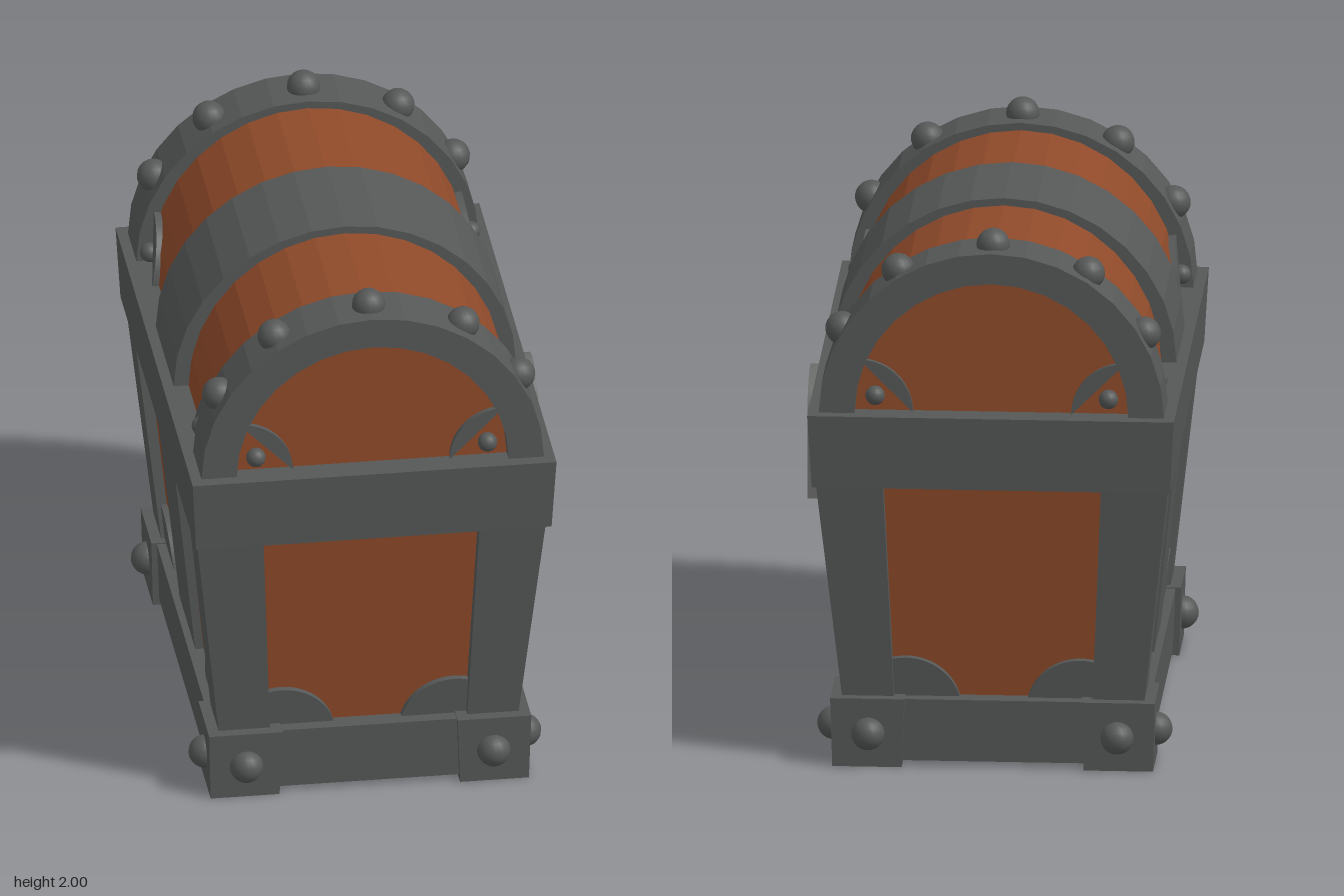
import * as THREE from 'three';

const mat = (color, flat = true) => new THREE.MeshStandardMaterial({ color, flatShading: flat });

export function createModel() {
  const iron = mat(0x555857), wood = mat(0x8f4a2a), steel = mat(0x6a6c6a), black = mat(0x0a0a0a);
  const studMat = mat(0x555857, false);
  const model = new THREE.Group();
  model.name = 'treasureChest';
  const chest = new THREE.Group();
  chest.name = 'chest';
  chest.position.x = -0.027; // the lock makes the outline lopsided
  model.add(chest);

  const add = (parent, name, geo, material) => {
    const mesh = new THREE.Mesh(geo, material);
    mesh.name = name;
    parent.add(mesh);
    return mesh;
  };

  // Box whose bottom and top rectangles [x0, x1, z0, z1] differ
  const taper = (name, y0, y1, bottom, top, material) => {
    const geo = new THREE.BoxGeometry(1, 1, 1);
    const p = geo.attributes.position;
    for (let i = 0; i < p.count; i++) {
      const r = p.getY(i) > 0 ? top : bottom;
      p.setXYZ(i, p.getX(i) > 0 ? r[1] : r[0], p.getY(i) > 0 ? y1 : y0, p.getZ(i) > 0 ? r[3] : r[2]);
    }
    geo.computeVertexNormals();
    return add(chest, name, geo, material);
  };
  const centred = (hx, hz) => [-hx, hx, -hz, hz];
  // Rectangle between inner and outer limits, mirrored to one corner
  const corner = (sx, sz, xi, xo, zi, zo) => [
    Math.min(sx * xi, sx * xo), Math.max(sx * xi, sx * xo),
    Math.min(sz * zi, sz * zo), Math.max(sz * zi, sz * zo)];

  const stud = (parent, name, r, x, y, z) =>
    add(parent, name, new THREE.SphereGeometry(r, 16, 12), studMat).position.set(x, y, z);

  // Body, base and rim
  taper('bodyPanels', 0.2, 1.1, centred(0.5, 0.775), centred(0.59, 0.865), wood);
  taper('base', 0.02, 0.25, centred(0.55, 0.84), centred(0.56, 0.85), iron);
  taper('rim', 1.065, 1.335, centred(0.64, 0.965), centred(0.655, 0.985), iron);

  // Corner posts and feet
  for (const sx of [-1, 1]) {
    for (const sz of [-1, 1]) {
      taper('cornerPost', 0.25, 1.07, corner(sx, sz, 0.355, 0.54, 0.63, 0.83),
        corner(sx, sz, 0.39, 0.63, 0.695, 0.91), iron);
      taper('cornerFoot', 0, 0.255, corner(sx, sz, 0.325, 0.573, 0.61, 0.862),
        corner(sx, sz, 0.315, 0.58, 0.6, 0.873), iron);
      stud(chest, 'footStud', 0.06, sx * 0.445, 0.125, sz * 0.868);
      stud(chest, 'footStud', 0.06, sx * 0.575, 0.125, sz * 0.735);
    }
    // Middle slat on each long side
    taper('middleSlat', 0.25, 1.07, corner(sx, 1, 0.45, 0.535, -0.2, 0.2),
      corner(sx, 1, 0.5, 0.622, -0.222, 0.222), iron);
  }

  // Half-round lid pieces, sixteen facets each
  const arcPoints = (rx, ry) => Array.from({ length: 17 }, (_, i) =>
    new THREE.Vector2(Math.cos(i * Math.PI / 16) * rx, Math.sin(i * Math.PI / 16) * ry));
  const lidPart = (name, rx, ry, z0, z1, material, inner) => {
    const pts = arcPoints(rx, ry);
    if (inner) pts.push(...arcPoints(inner, inner).reverse());
    const geo = new THREE.ExtrudeGeometry(new THREE.Shape(pts), { depth: z1 - z0, bevelEnabled: false });
    add(chest, name, geo, material).position.set(0, 1.333, z0);
  };
  lidPart('lid', 0.563, 0.575, -0.885, 0.885, wood);
  lidPart('lidMiddleBand', 0.617, 0.602, -0.228, 0.228, iron);
  for (const s of [-1, 1]) {
    lidPart('lidEndBand', 0.617, 0.602, s > 0 ? 0.723 : -0.937, s > 0 ? 0.937 : -0.723, iron, 0.49);
    for (const [x, y] of [[-0.54, 1.62], [-0.34, 1.84], [0, 1.94], [0.34, 1.84], [0.54, 1.62]]) {
      stud(chest, 'lidStud', 0.06, x, y, s * 0.83);
    }
  }

  // Rounded corner brackets on all four faces
  const bracket = (face, name, r, u, y, depth, tilt, from, to) => {
    const shape = new THREE.Shape();
    shape.moveTo(0, 0);
    shape.absarc(0, 0, r, from, to, false);
    shape.closePath();
    const geo = new THREE.ExtrudeGeometry(shape, { depth: 0.04, bevelEnabled: false, curveSegments: 16 });
    geo.translate(0, 0, -0.02);
    const mesh = add(face, name, geo, iron);
    mesh.position.set(u, y, depth);
    mesh.rotation.x = tilt;
  };
  for (let i = 0; i < 4; i++) {
    const face = new THREE.Group();
    face.name = 'faceBrackets';
    face.rotation.y = i * Math.PI / 2;
    chest.add(face);
    const long = i % 2 === 1;
    for (const s of [-1, 1]) {
      bracket(face, 'bodyBracket', 0.197, s * (long ? 0.595 : 0.312), 0.2, long ? 0.502 : 0.777, 0.1, 0, Math.PI);
      const a = s > 0 ? Math.PI / 2 : 0;
      if (long) {
        bracket(face, 'lidSideBracket', 0.197, s * 0.725, 1.333, 0.568, -0.17, a, a + Math.PI / 2);
        stud(face, 'smallStud', 0.035, s * 0.66, 1.402, 0.578);
      } else {
        bracket(face, 'lidEndBracket', 0.192, s * 0.475, 1.333, 0.885, 0, a, a + Math.PI / 2);
        stud(face, 'smallStud', 0.035, s * 0.417, 1.395, 0.91);
      }
    }
  }

  // Lock plate with a keyhole
  const plate = new THREE.Shape();
  plate.moveTo(-0.158, -0.29);
  plate.lineTo(0.158, -0.29);
  plate.absarc(0, 0, 0.158, 0, Math.PI, false);
  plate.closePath();
  const hole = new THREE.Path();
  hole.moveTo(-0.025, 0.01 - 0.076);
  hole.lineTo(-0.037, -0.225);
  hole.lineTo(0.037, -0.225);
  hole.absarc(0, 0.01, 0.08, -1.253, 4.395, false);
  plate.holes.push(hole);
  const lockGeo = new THREE.ExtrudeGeometry(plate, { depth: 0.13, bevelEnabled: false, curveSegments: 16 });
  lockGeo.rotateY(Math.PI / 2);
  add(chest, 'lockPlate', lockGeo, steel).position.set(0.577, 1.075, 0);
  const backing = new THREE.BoxGeometry(0.06, 0.33, 0.18);
  add(chest, 'keyholeBacking', backing, black).position.set(0.63, 1.01, 0);

  return model;
}
